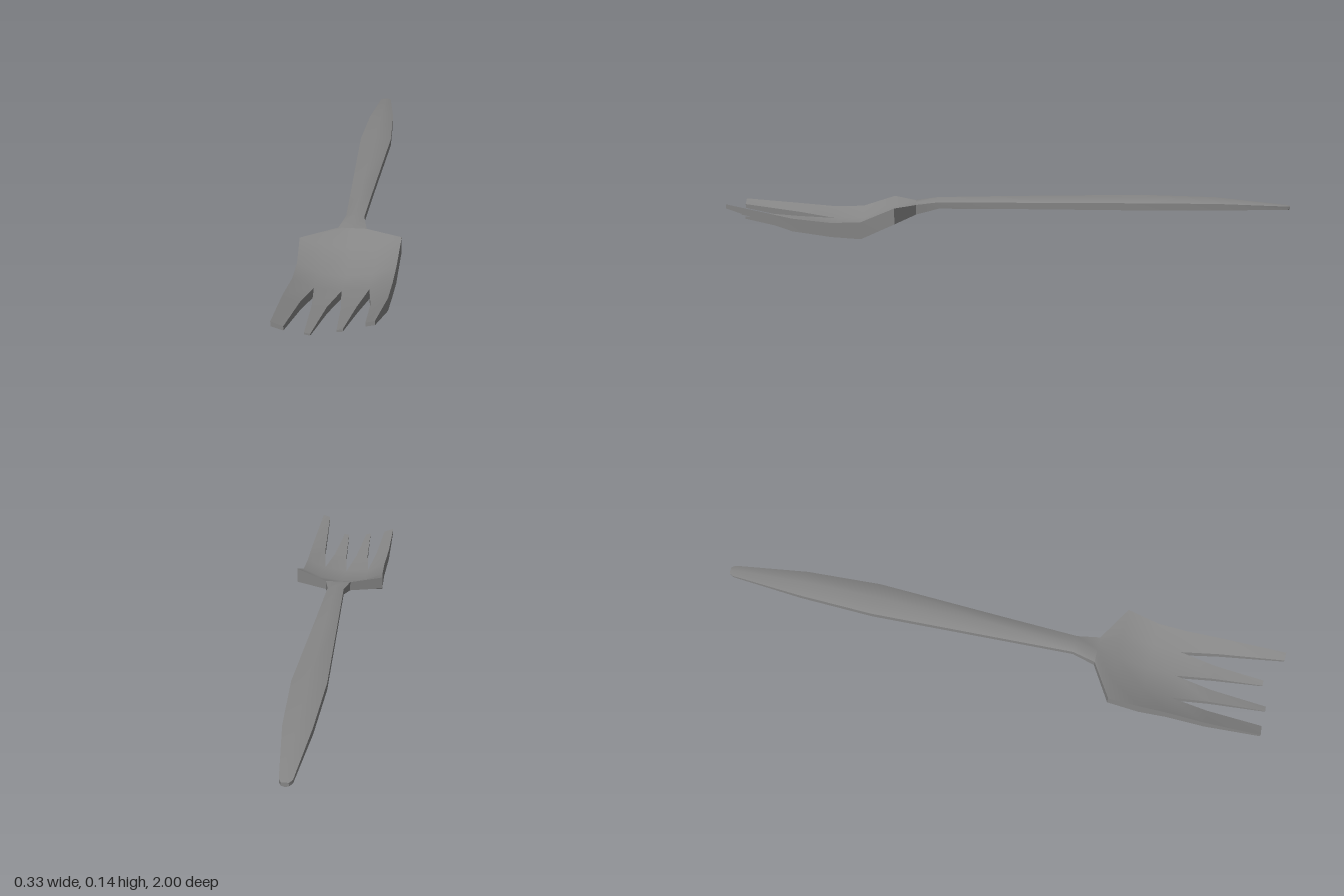
import * as THREE from 'three';
import { mergeGeometries, toCreasedNormals } from 'three/addons/utils/BufferGeometryUtils.js';

const material = new THREE.MeshStandardMaterial({ color: 0x868686 });

// Lofts cross-sections along z. A section is { z, cols }, with cols running
// from -x to +x and each column being [x, top y, bottom y].
function loft(sections, capStart, capEnd) {
  const pos = [];
  const tri = (...pts) => pts.forEach((p) => pos.push(...p));
  const quad = (a, b, c, d) => { tri(a, d, b); tri(b, d, c); };
  const top = (s, j) => [s.cols[j][0], s.cols[j][1], s.z];
  const bottom = (s, j) => [s.cols[j][0], s.cols[j][2], s.z];
  const ring = (s) => [
    ...s.cols.map((_, j) => top(s, j)),
    ...s.cols.map((_, j) => bottom(s, j)).reverse(),
  ];

  for (let i = 0; i < sections.length - 1; i++) {
    const a = ring(sections[i]);
    const b = ring(sections[i + 1]);
    a.forEach((_, j) => {
      const k = (j + 1) % a.length;
      quad(a[j], a[k], b[k], b[j]);
    });
  }
  const cap = (s, facesFront) => {
    for (let j = 0; j < s.cols.length - 1; j++) {
      const q = [top(s, j), top(s, j + 1), bottom(s, j + 1), bottom(s, j)];
      if (facesFront) quad(q[0], q[1], q[2], q[3]);
      else quad(q[0], q[3], q[2], q[1]);
    }
  };
  if (capStart) cap(sections[0], false);
  if (capEnd) cap(sections[sections.length - 1], true);

  const geometry = new THREE.BufferGeometry();
  geometry.setAttribute('position', new THREE.Float32BufferAttribute(pos, 3));
  return geometry;
}

function part(name, geometry) {
  const mesh = new THREE.Mesh(toCreasedNormals(geometry, 0.85), material);
  mesh.name = name;
  return mesh;
}

export function createModel() {
  const fork = new THREE.Group();
  fork.name = 'fork';

  // Handle: softly ridged along the top, widest near the rear third
  // z, left x, right x, edge top, ridge top, edge bottom, middle bottom
  const handle = [
    [-1.0, -0.026, -0.004, 0.072, 0.074, 0.061, 0.058],
    [-0.985, -0.036, 0.005, 0.074, 0.077, 0.062, 0.058],
    [-0.72, -0.057, 0.038, 0.095, 0.111, 0.071, 0.064],
    [-0.45, -0.065, 0.052, 0.105, 0.125, 0.079, 0.071],
    [0.0, -0.046, 0.036, 0.112, 0.129, 0.089, 0.083],
    [0.28, -0.034, 0.027, 0.117, 0.13, 0.094, 0.089],
    [0.36, -0.05, 0.044, 0.112, 0.112, 0.078, 0.073],
  ].map(([z, l, r, edge, ridge, low, mid]) => ({
    z,
    cols: [[l, edge, low], [(l + r) / 2, ridge, mid], [r, edge, low]],
  }));
  fork.add(part('handle', loft(handle, true, false)));

  // Head: shallow bowl whose last section meets the roots of the tines
  const root = {
    z: 0.65,
    cols: [
      [-0.157, 0.073, 0.022], [-0.09, 0.043, 0.012], [-0.004, 0.036, 0.01],
      [0.083, 0.048, 0.014], [0.155, 0.077, 0.028],
    ],
  };
  const bowl = [
    {
      z: 0.36,
      cols: [
        [-0.05, 0.112, 0.078], [-0.027, 0.112, 0.075], [-0.003, 0.112, 0.073],
        [0.021, 0.112, 0.075], [0.044, 0.112, 0.078],
      ],
    },
    {
      z: 0.435,
      cols: [
        [-0.167, 0.106, 0.06], [-0.09, 0.085, 0.053], [0, 0.078, 0.05],
        [0.088, 0.09, 0.055], [0.165, 0.125, 0.07],
      ],
    },
    {
      z: 0.55,
      cols: [
        [-0.158, 0.073, 0.008], [-0.085, 0.042, 0.003], [0, 0.034, 0],
        [0.083, 0.045, 0.005], [0.158, 0.078, 0.019],
      ],
    },
    root,
  ];

  // Tines: each grows from a pair of neighbouring root columns to a blunt tip
  const tines = [
    {
      mid: [[-0.165, 0.086, 0.042], [-0.113, 0.064, 0.036]],
      tipZ: 0.97, tip: [[-0.167, 0.106, 0.09], [-0.13, 0.092, 0.078]],
    },
    {
      mid: [[-0.077, 0.056, 0.032], [-0.031, 0.053, 0.03]],
      tipZ: 0.975, tip: [[-0.07, 0.078, 0.072], [-0.052, 0.075, 0.069]],
    },
    {
      mid: [[0.011, 0.053, 0.03], [0.058, 0.058, 0.034]],
      tipZ: 0.95, tip: [[0.02, 0.077, 0.07], [0.038, 0.081, 0.073]],
    },
    {
      mid: [[0.1, 0.07, 0.043], [0.152, 0.094, 0.05]],
      tipZ: 1.0, tip: [[0.108, 0.136, 0.124], [0.135, 0.144, 0.13]],
    },
  ].map(({ mid, tipZ, tip }, i) => loft([
    { z: root.z, cols: root.cols.slice(i, i + 2) },
    { z: 0.78, cols: mid },
    { z: tipZ, cols: tip },
  ], false, true));

  // Bowl and tines share one surface so the shading runs on unbroken
  fork.add(part('headWithTines', mergeGeometries([loft(bowl, false, false), ...tines])));

  return fork;
}
